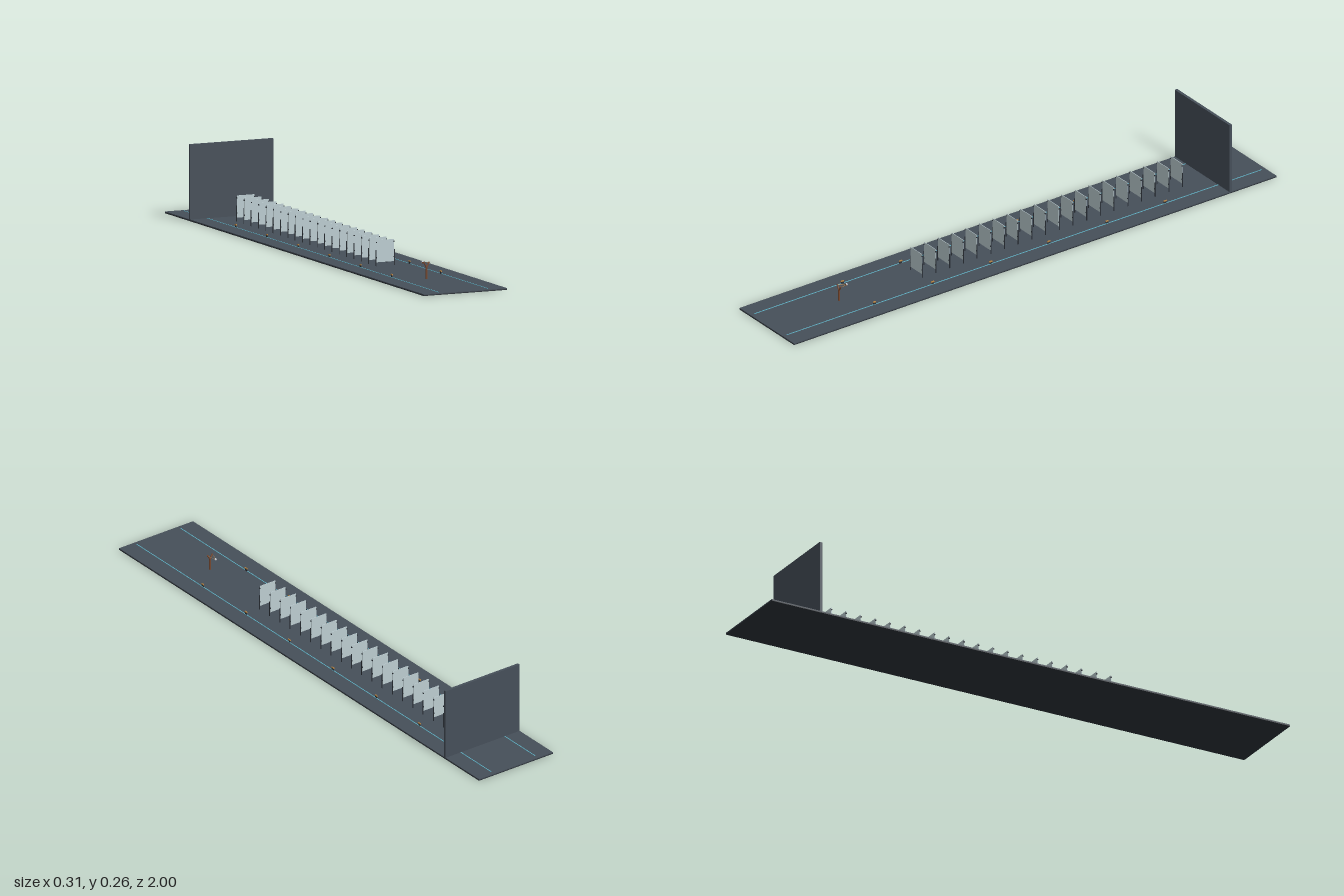
import * as THREE from 'three';

const mat = (name, color) => {
  const m = new THREE.MeshStandardMaterial({ color });
  m.name = name;
  return m;
};

export function createModel() {
  const root = new THREE.Group();
  root.name = 'shootingRange';
  const slate = mat('slate', 0x464f59);
  const dark = mat('darkMetal', 0x2b3138);
  const glass = mat('paleGlass', 0xbccdd1);
  const cyan = mat('cyanLine', 0x5fb4c8);
  const amber = mat('amber', 0xc08a45);
  const wood = mat('wood', 0x7a4a30);
  const steel = mat('steel', 0xc8ccd0);

  const add = (parent, name, geometry, material, x, y, z) => {
    const mesh = new THREE.Mesh(geometry, material);
    mesh.name = name;
    mesh.position.set(x, y, z);
    parent.add(mesh);
    return mesh;
  };
  const box = (parent, name, material, w, h, d, x, y, z) =>
    add(parent, name, new THREE.BoxGeometry(w, h, d), material, x, y, z);
  // Round bar between two points
  const bar = (parent, name, material, a, b, r) => {
    const p = new THREE.Vector3(...a), q = new THREE.Vector3(...b);
    const mid = p.clone().add(q).multiplyScalar(0.5);
    const m = add(parent, name, new THREE.CylinderGeometry(r, r, p.distanceTo(q), 8), material, mid.x, mid.y, mid.z);
    m.quaternion.setFromUnitVectors(new THREE.Vector3(0, 1, 0), q.sub(p).normalize());
  };

  // Long floor with a dark underside, and the back wall
  box(root, 'floorUnderside', dark, 0.31, 0.003, 2, 0, 0.0015, 0);
  box(root, 'floor', slate, 0.31, 0.003, 2, 0, 0.0045, 0);
  box(root, 'backWall', slate, 0.31, 0.254, 0.01, 0, 0.133, -0.81);

  // Lane lines and small marker lamps along both sides
  for (const s of [-1, 1]) {
    box(root, 'laneLine', cyan, 0.003, 0.001, 1.97, s * 0.092, 0.0065, 0);
    for (let i = 0; i < 6; i++) {
      const lamp = new THREE.Group();
      lamp.name = 'markerLamp';
      lamp.position.set(s * 0.091, 0.006, 0.62 - i * 0.241);
      box(lamp, 'lampPost', dark, 0.002, 0.007, 0.01, 0, 0.0035, 0);
      box(lamp, 'lampHead', amber, 0.003, 0.004, 0.012, 0, 0.009, 0);
      root.add(lamp);
    }
  }

  // Row of glass panes, each held by two posts with clips
  for (let i = 0; i < 20; i++) {
    const pane = new THREE.Group();
    pane.name = 'targetPane';
    pane.position.z = 0.38 - i * 0.0568;
    box(pane, 'glassPane', glass, 0.064, 0.075, 0.002, 0, 0.0565, 0);
    for (const s of [-1, 1]) {
      box(pane, 'panePost', dark, 0.002, 0.054, 0.003, s * 0.034, 0.033, 0);
      for (const y of [0.035, 0.086])
        box(pane, 'paneClip', dark, 0.003, 0.004, 0.004, s * 0.0325, y, 0);
    }
    root.add(pane);
  }

  // Slingshot with elastic bands, pouch and ball
  const sling = new THREE.Group();
  sling.name = 'slingshot';
  bar(sling, 'handle', wood, [0, 0.006, 0.7], [0, 0.047, 0.7], 0.0033);
  for (const s of [-1, 1]) {
    bar(sling, 'forkArm', wood, [0, 0.045, 0.7], [s * 0.0105, 0.063, 0.7], 0.0026);
    bar(sling, 'elasticBand', amber, [s * 0.0105, 0.061, 0.7], [s * 0.002, 0.057, 0.672], 0.0006);
  }
  box(sling, 'pouch', wood, 0.007, 0.005, 0.002, 0, 0.057, 0.673);
  add(sling, 'ball', new THREE.SphereGeometry(0.004, 12, 8), steel, 0, 0.058, 0.669);
  root.add(sling);

  return root;
}
